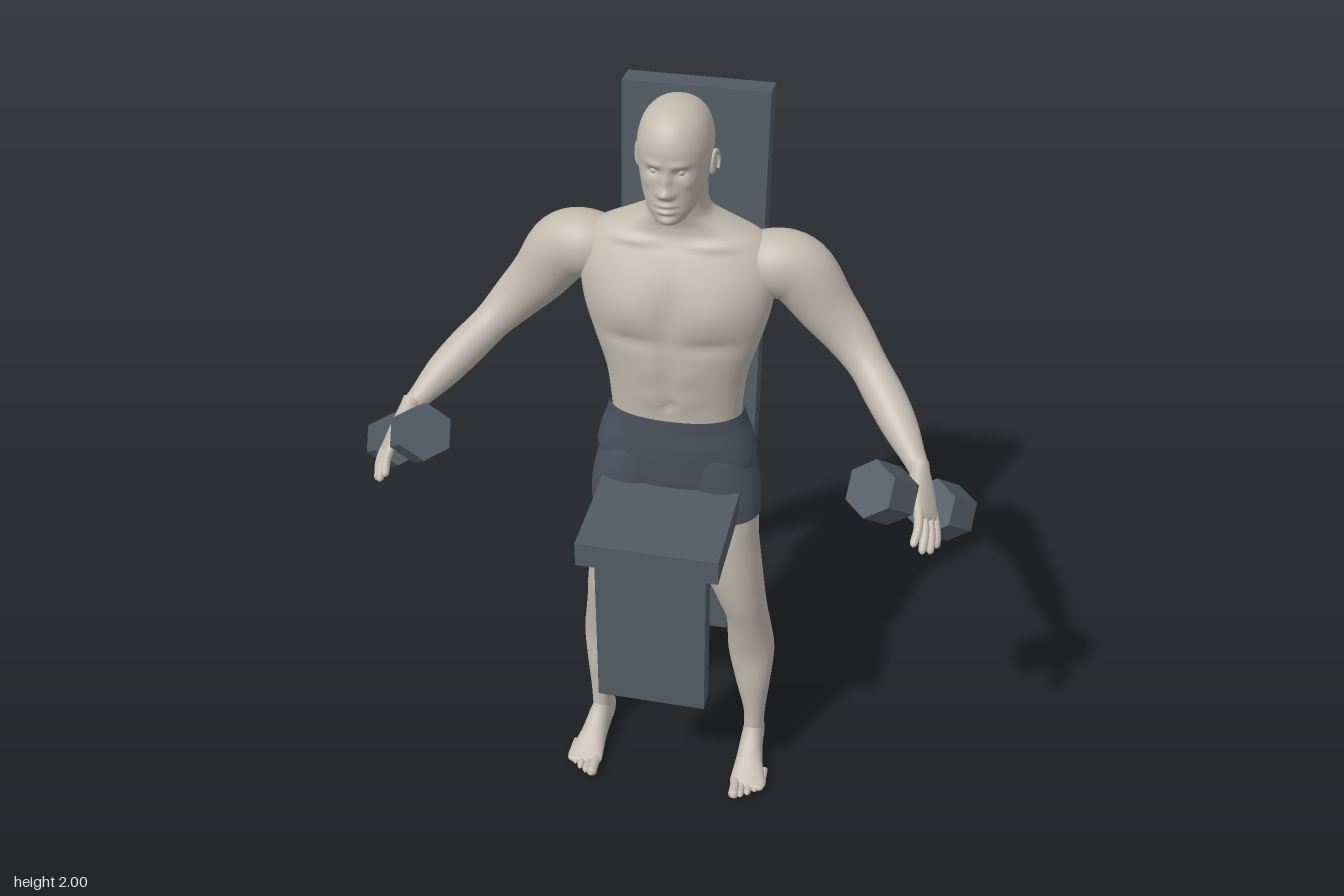
import * as THREE from 'three';

const V = (x, y, z) => new THREE.Vector3(x, y, z);
const mat = (name, color) => Object.assign(new THREE.MeshStandardMaterial({ color }), { name });

// Smooth interpolation of key rows, component by component
function sample(keys, t) {
  const i = Math.min(Math.floor(t), keys.length - 2), f = t - i;
  const k = n => keys[Math.max(0, Math.min(keys.length - 1, n))];
  return keys[i].map((b, c) => {
    const a = k(i - 1)[c], d = k(i + 1)[c], e = k(i + 2)[c];
    return b + 0.5 * f * (d - a + f * (2 * a - 5 * b + 4 * d - e + f * (3 * (b - d) + e - a)));
  });
}

// Skin rings over key rows [x, y, z, halfWidth, frontDepth, backDepth].
// Without ref the rings lie flat; with ref they stand across the path and "front" points to ref.
function loft(keys, { n = 32, steps = 6, p = 2, ref = null, shape = null } = {}) {
  const rows = [], pos = [], idx = [], total = (keys.length - 1) * steps;
  for (let i = 0; i <= total; i++) rows.push(sample(keys, i / steps));
  const at = i => V(...rows[Math.max(0, Math.min(total, i))].slice(0, 3));
  const sup = c => Math.sign(c) * Math.abs(c) ** (2 / p);
  rows.forEach((r, i) => {
    let u = V(1, 0, 0), v = V(0, 0, 1);
    if (ref) {
      const T = at(i + 1).sub(at(i - 1)).normalize();
      u = T.clone().cross(ref).normalize();
      v = u.clone().cross(T);
    }
    const [rx, rf, rb] = r.slice(3).map(x => Math.max(x, 0.0005));
    for (let j = 0; j < n; j++) {
      const a = j / n * Math.PI * 2, c = sup(Math.cos(a)), s = sup(Math.sin(a));
      const q = at(i).addScaledVector(u, rx * c).addScaledVector(v, (s > 0 ? rf : rb) * s);
      if (shape) shape(q, Math.sin(a));
      pos.push(q.x, q.y, q.z);
    }
  });
  for (let i = 0; i < total; i++) for (let j = 0; j < n; j++) {
    const a = i * n + j, b = i * n + (j + 1) % n;
    idx.push(a, a + n, b, b, a + n, b + n);
  }
  const g = new THREE.BufferGeometry();
  g.setAttribute('position', new THREE.Float32BufferAttribute(pos, 3));
  g.setIndex(idx);
  g.computeVertexNormals();
  return g;
}

// Soft swellings and hollows, mirrored in x: [x, y, amount, spreadX, spreadY]
const bumps = (list, x, y) => list.reduce((s, [x0, y0, a, sx, sy]) =>
  s + a * Math.exp(-(((Math.abs(x) - x0) / sx) ** 2) - ((y - y0) / sy) ** 2), 0);

function mirror(g) {
  const m = g.clone().scale(-1, 1, 1);
  const idx = g.index ? [...g.index.array] : [...Array(g.attributes.position.count).keys()];
  return m.setIndex(idx.reverse());
}

export function createModel() {
  const model = new THREE.Group();
  const skin = mat('skin', 0xc2b9ae), cloth = mat('shorts', 0x4b515e), metal = mat('equipment', 0x525c65);
  const add = (name, g, m) => {
    const mesh = new THREE.Mesh(g, m);
    mesh.name = name;
    model.add(mesh);
    return mesh;
  };
  const pair = (name, g, m) => { add('left' + name, g, m); add('right' + name, mirror(g), m); };
  const box = (name, w, y0, y1, z0, z1) =>
    add(name, new THREE.BoxGeometry(w, y1 - y0, z1 - z0).translate(0, (y0 + y1) / 2, (z0 + z1) / 2), metal);

  // Bench
  box('seat', 0.354, 0.918, 0.985, -0.197, 0.28);
  box('frontLegPanel', 0.28, 0.455, 0.918, 0.18, 0.24);
  box('rearLegPanel', 0.28, 0.455, 0.918, -0.14, -0.08);
  box('backPost', 0.06, 0.455, 1.58, -0.285, -0.225);
  const rest = add('backrest', new THREE.BoxGeometry(0.354, 0.953, 0.07), metal);
  rest.position.set(0, 1.456, -0.278);
  rest.rotation.x = -0.079;

  // Torso and neck
  const front = [[0.1, 1.5, 0.013, 0.075, 0.055], [0, 1.48, -0.01, 0.016, 0.09], [0.09, 1.415, -0.008, 0.07, 0.018],
    [0, 1.3, -0.006, 0.012, 0.09], [0.045, 1.33, 0.004, 0.03, 0.03], [0.045, 1.25, 0.004, 0.03, 0.03],
    [0, 1.232, -0.008, 0.01, 0.009], [0.1, 1.655, 0.008, 0.06, 0.01]];
  const back = [[0.1, 1.53, 0.012, 0.06, 0.08], [0, 1.42, -0.014, 0.022, 0.2], [0.05, 1.25, 0.005, 0.035, 0.08]];
  add('torso', loft([
    [0, 1.15, -0.08, 0.162, 0.09, 0.085], [0, 1.22, -0.08, 0.166, 0.095, 0.085],
    [0, 1.3, -0.08, 0.176, 0.105, 0.09], [0, 1.4, -0.08, 0.205, 0.112, 0.112],
    [0, 1.48, -0.08, 0.226, 0.112, 0.125], [0, 1.56, -0.085, 0.235, 0.105, 0.12],
    [0, 1.62, -0.095, 0.228, 0.088, 0.1], [0, 1.66, -0.1, 0.2, 0.068, 0.08],
    [0, 1.69, -0.1, 0.135, 0.062, 0.07], [0, 1.715, -0.095, 0.086, 0.063, 0.065],
    [0, 1.745, -0.088, 0.07, 0.064, 0.065], [0, 1.8, -0.08, 0.066, 0.066, 0.07], [0, 1.83, -0.08, 0.05, 0.05, 0.05],
  ], { n: 80, p: 2.35, shape: (q, s) => {
    q.z += s > 0 ? bumps(front, q.x, q.y) * Math.min(1, s * 2) : bumps(back, q.x, q.y) * Math.max(-1, s * 2);
  } }), skin);

  // Head with sculpted face
  const face = [[0, 1.85, 0.011, 0.011, 0.024], [0, 1.823, 0.019, 0.013, 0.012], [0.013, 1.818, 0.008, 0.008, 0.008],
    [0.028, 1.889, 0.006, 0.024, 0.008], [0.03, 1.869, -0.011, 0.015, 0.009], [0, 1.792, 0.008, 0.021, 0.006],
    [0, 1.777, 0.008, 0.018, 0.006], [0, 1.7845, -0.007, 0.023, 0.003], [0, 1.767, -0.003, 0.02, 0.005],
    [0, 1.75, 0.006, 0.02, 0.01], [0.05, 1.842, 0.005, 0.016, 0.014]];
  add('head', loft([
    [0, 1.734, 0.005, 0.002, 0.002, 0.002], [0, 1.741, 0, 0.03, 0.038, 0.045],
    [0, 1.765, -0.015, 0.052, 0.063, 0.07], [0, 1.8, -0.04, 0.069, 0.088, 0.085],
    [0, 1.84, -0.055, 0.079, 0.102, 0.1], [0, 1.88, -0.058, 0.084, 0.106, 0.113],
    [0, 1.92, -0.06, 0.084, 0.108, 0.112], [0, 1.96, -0.06, 0.072, 0.09, 0.096],
    [0, 1.985, -0.06, 0.05, 0.06, 0.066], [0, 1.997, -0.06, 0.022, 0.027, 0.03], [0, 2, -0.06, 0.001, 0.001, 0.001],
  ], { n: 96, steps: 8, p: 2.15, shape: (q, s) => { if (s > 0) q.z += bumps(face, q.x, q.y) * Math.min(1, s * 1.5); } }), skin);
  pair('Eye', new THREE.SphereGeometry(0.011, 16, 12).translate(0.03, 1.869, 0.026), skin);
  pair('Ear', new THREE.SphereGeometry(1, 16, 12).scale(0.007, 0.028, 0.015).rotateY(-0.35).translate(0.084, 1.853, -0.062), skin);
  pair('EarRim', new THREE.TorusGeometry(0.02, 0.005, 8, 24, 4.6).rotateZ(-0.9).scale(0.75, 1.35, 1)
    .rotateY(Math.PI / 2 - 0.35).translate(0.089, 1.855, -0.063), skin);

  // Shorts
  add('shortsHips', loft([
    [0, 0.925, -0.075, 0.01, 0.01, 0.01], [0, 0.945, -0.075, 0.1, 0.075, 0.08], [0, 0.98, -0.078, 0.175, 0.092, 0.1],
    [0, 1.04, -0.08, 0.203, 0.098, 0.112], [0, 1.1, -0.08, 0.196, 0.1, 0.115],
    [0, 1.15, -0.08, 0.179, 0.098, 0.102], [0, 1.19, -0.08, 0.17, 0.098, 0.091],
  ], { n: 64, p: 2.3, shape: (q, s) => { if (s < 0) q.z += bumps([[0, 1.05, 0.02, 0.02, 0.08]], q.x, q.y); } }), cloth);
  const shortsLeg = [[0.122, 0.888, -0.068, 0.1, 0.087, 0.09], [0.118, 0.95, -0.072, 0.101, 0.09, 0.104],
    [0.106, 1.02, -0.08, 0.099, 0.096, 0.117], [0.092, 1.09, -0.085, 0.085, 0.09, 0.117], [0.085, 1.14, -0.085, 0.05, 0.06, 0.07]];
  pair('ShortsLeg', loft(shortsLeg, { n: 48 }), cloth);

  // Legs
  pair('Leg', loft([
    [0.222, 0.04, -0.105, 0.028, 0.04, 0.04], [0.223, 0.1, -0.103, 0.028, 0.04, 0.046],
    [0.222, 0.16, -0.105, 0.032, 0.042, 0.045], [0.214, 0.26, -0.11, 0.049, 0.053, 0.06],
    [0.206, 0.36, -0.115, 0.063, 0.06, 0.071], [0.2, 0.44, -0.105, 0.06, 0.067, 0.077],
    [0.193, 0.52, -0.09, 0.056, 0.073, 0.072], [0.177, 0.6, -0.075, 0.064, 0.08, 0.078],
    [0.153, 0.7, -0.07, 0.077, 0.09, 0.087], [0.132, 0.8, -0.07, 0.087, 0.091, 0.092],
    [0.122, 0.9, -0.068, 0.094, 0.081, 0.084], [0.118, 0.98, -0.07, 0.09, 0.078, 0.09],
  ], { n: 40, p: 2.1 }), skin);

  // Feet, from heel to ball, then toes
  const up = V(0, 1, 0);
  pair('Foot', loft([
    [0.222, 0.035, -0.166, 0.002, 0.002, 0.002], [0.222, 0.035, -0.158, 0.02, 0.025, 0.028],
    [0.222, 0.04, -0.125, 0.03, 0.05, 0.038], [0.224, 0.042, -0.07, 0.032, 0.062, 0.04],
    [0.228, 0.034, -0.01, 0.037, 0.04, 0.03], [0.233, 0.024, 0.04, 0.046, 0.022, 0.022],
    [0.236, 0.018, 0.07, 0.049, 0.013, 0.017], [0.236, 0.015, 0.085, 0.038, 0.008, 0.012], [0.236, 0.015, 0.09, 0.002, 0.002, 0.002],
  ], { ref: up, p: 2.2 }), skin);
  for (let i = 0; i < 5; i++) {
    const x = 0.203 + i * 0.018, tip = 0.128 - 0.005 * i - 0.0022 * i * i, r = i ? 0.0095 : 0.014;
    pair('Toe' + (i + 1), loft([[x, 0.018, tip - 0.065, r, r, r], [x + 0.001, 0.017, tip - 0.03, r, r, r],
      [x + 0.002, 0.013, tip - 0.01, r, r, r], [x + 0.002, 0.011, tip, 0.001, 0.001, 0.001]], { n: 12, ref: up }), skin);
  }

  // Arms
  pair('Arm', loft([
    [0.15, 1.575, -0.11, 0.06, 0.06, 0.07], [0.22, 1.59, -0.11, 0.08, 0.08, 0.082],
    [0.285, 1.57, -0.115, 0.084, 0.077, 0.078], [0.35, 1.485, -0.118, 0.071, 0.07, 0.066],
    [0.41, 1.42, -0.103, 0.059, 0.057, 0.055], [0.465, 1.365, -0.065, 0.047, 0.046, 0.05],
    [0.515, 1.32, -0.01, 0.047, 0.049, 0.049], [0.56, 1.28, 0.05, 0.042, 0.043, 0.043],
    [0.602, 1.24, 0.11, 0.028, 0.029, 0.029], [0.62, 1.226, 0.14, 0.024, 0.026, 0.026],
  ], { n: 40, ref: V(0, 0, 1) }), skin);

  // Hands: "along" runs to the fingertips, "across" follows the grip, "palm" is the palm normal
  const inner = V(0.545, 1.25, 0.27), outer = V(0.68, 1.1, 0.11);
  const across = outer.clone().sub(inner).normalize();
  const along = V(0.22, -0.54, 0.81).addScaledVector(across, 0.08).normalize();
  const palm = across.clone().cross(along).normalize();
  const grip = inner.clone().lerp(outer, 0.5);
  const hand = (a, w, p) => grip.clone().addScaledVector(along, a).addScaledVector(across, w).addScaledVector(palm, p - 0.03);
  const row = (a, w, p, rw, rp) => [...hand(a, w, p).toArray(), rw, rp, rp];
  pair('Palm', loft([row(-0.085, 0, 0, 0.022, 0.022), row(-0.06, 0, 0, 0.027, 0.02), row(-0.02, 0, 0, 0.039, 0.018),
    row(0.03, 0, 0, 0.043, 0.014), row(0.05, 0, 0, 0.036, 0.01), row(0.056, 0, 0, 0.002, 0.002)], { ref: palm, p: 2.3 }), skin);
  [-0.032, -0.011, 0.011, 0.031].forEach((w, i) => {
    const l = [0.08, 0.092, 0.087, 0.068][i];
    pair('Finger' + (i + 1), loft([row(0.03, w, 0, 0.011, 0.011), row(0.04 + l * 0.45, w * 1.25, 0.003, 0.0105, 0.0105),
      row(0.04 + l * 0.9, w * 1.6, 0.014, 0.009, 0.009), row(0.04 + l, w * 1.65, 0.018, 0.001, 0.001)], { n: 12, ref: palm }), skin);
  });
  pair('Thumb', loft([row(-0.055, -0.012, 0.004, 0.014, 0.014), row(-0.02, -0.04, 0.014, 0.014, 0.014),
    row(0.02, -0.055, 0.032, 0.011, 0.011), row(0.045, -0.058, 0.042, 0.009, 0.009), row(0.052, -0.058, 0.045, 0.001, 0.001)],
  { n: 14, ref: palm }), skin);

  // Dumbbells
  const turn = new THREE.Quaternion().setFromUnitVectors(up, across);
  const bar = (r, len, sides, c) => new THREE.CylinderGeometry(r, r, len, sides).applyQuaternion(turn).translate(c.x, c.y, c.z);
  const hex = c => { const g = bar(0.068, 0.1, 6, c).toNonIndexed(); g.computeVertexNormals(); return g; };
  pair('DumbbellHandle', bar(0.017, 0.24, 20, grip), metal);
  pair('DumbbellInnerHead', hex(inner), metal);
  pair('DumbbellOuterHead', hex(outer), metal);

  return model;
}
